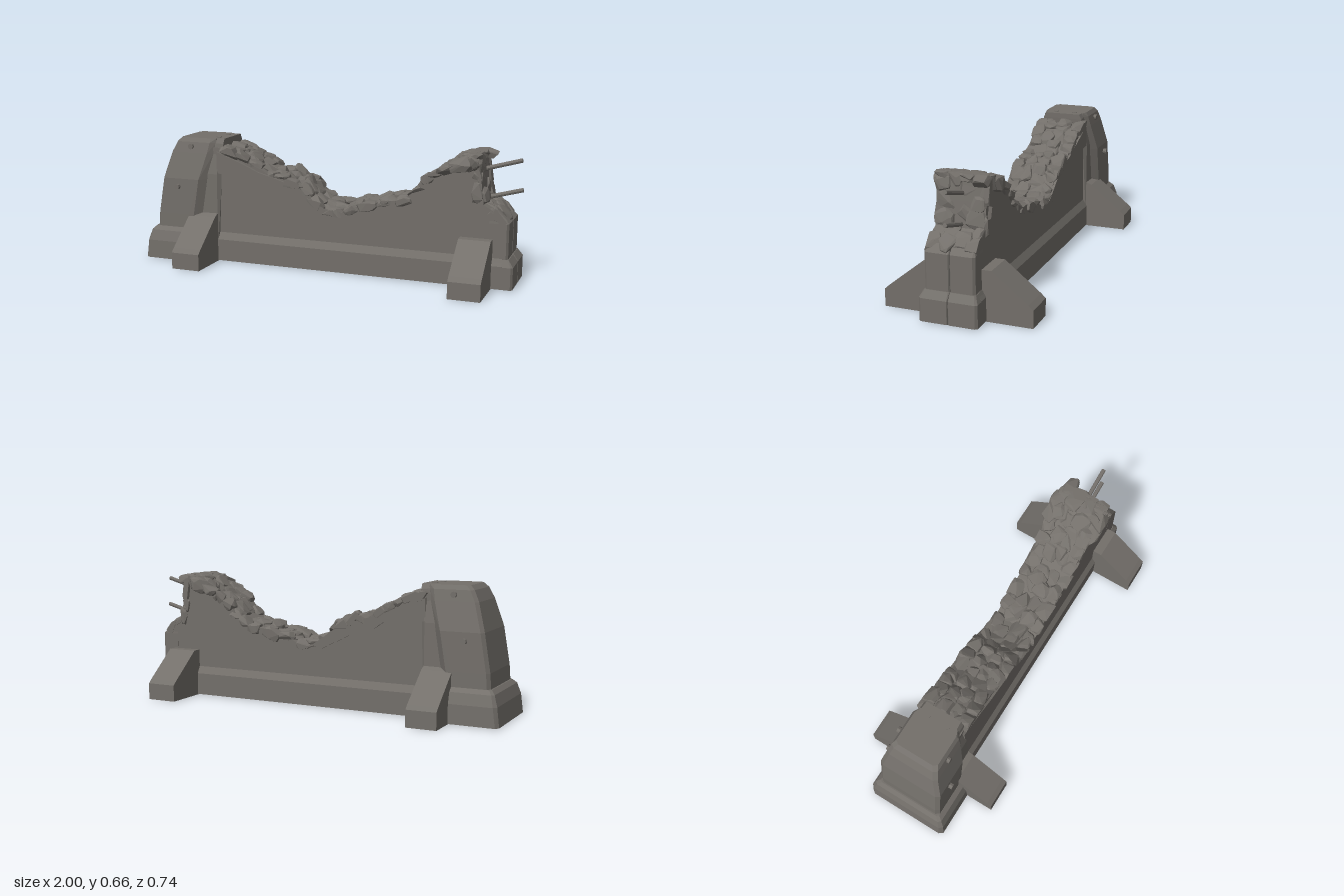
import * as THREE from 'three';
import { ConvexGeometry } from 'three/addons/geometries/ConvexGeometry.js';

const concrete = new THREE.MeshStandardMaterial({ color: 0x736f6a, flatShading: true });
concrete.name = 'concrete';

// Seeded random numbers
let seed = 11;
const rnd = () => {
  seed = (seed * 16807) % 2147483647;
  return seed / 2147483647;
};
const spread = (a) => (rnd() * 2 - 1) * a;
const v2 = (list) => list.map(([x, y]) => new THREE.Vector2(x, y));
const v3 = (x, y, z) => new THREE.Vector3(x, y, z);

function add(parent, name, geometry) {
  const mesh = new THREE.Mesh(geometry, concrete);
  mesh.name = name;
  parent.add(mesh);
  return mesh;
}

// Side profile (x, y) extruded across z, centred
function acrossZ(points, halfDepth) {
  return new THREE.ExtrudeGeometry(new THREE.Shape(v2(points)), { depth: halfDepth * 2, bevelEnabled: false })
    .translate(0, 0, -halfDepth);
}

// Symmetric (z, y) section, given for one side, run along x
function alongX(half, x0, x1) {
  const pts = [...half, ...half.map(([z, y]) => [-z, y]).reverse()];
  return new THREE.ExtrudeGeometry(new THREE.Shape(v2(pts)), { depth: x1 - x0, bevelEnabled: false })
    .rotateY(Math.PI / 2).translate(x0, 0, 0);
}

// Solid through horizontal outlines [y, [[x, z], ...]]; mirrored in z if asked
function hull(levels, mirror = true) {
  const pts = [];
  for (const [y, outline] of levels) {
    for (const [x, z] of outline) {
      pts.push(v3(x, y, z));
      if (mirror) pts.push(v3(x, y, -z));
    }
  }
  return new ConvexGeometry(pts);
}

// Broken top line of the wall, from the pillar to the ruined end
const TOP = [[-0.6, 0.63], [-0.52, 0.61], [-0.45, 0.59], [-0.4, 0.55], [-0.35, 0.53], [-0.3, 0.5], [-0.22, 0.495],
  [-0.19, 0.465], [-0.12, 0.455], [-0.05, 0.385], [0.01, 0.345], [0.1, 0.335], [0.17, 0.37], [0.25, 0.375],
  [0.32, 0.405], [0.42, 0.425], [0.48, 0.47], [0.53, 0.53], [0.6, 0.57], [0.7, 0.65], [0.8, 0.655],
  [0.815, 0.55], [0.83, 0.43], [0.9, 0.39], [0.955, 0.335]];

// One worn chunk lying on the broken edge, aligned to direction t
function stone(p, t, z, [st, sn, sz], zMax) {
  const twist = spread(0.4);
  const pts = [];
  for (let i = 0; i < 26; i++) {
    const d = v3(spread(1), spread(1), spread(1)).normalize();
    const k = 1 / Math.pow(d.x ** 4 + d.y ** 4 + d.z ** 4, 0.25);
    const a = (d.x * Math.cos(twist) - d.z * Math.sin(twist)) * k * st;
    const c = (d.x * Math.sin(twist) + d.z * Math.cos(twist)) * k * sz;
    const b = d.y * k * sn;
    pts.push(v3(p.x + t.x * a - t.y * b, Math.min(0.657, p.y + t.y * a + t.x * b),
      THREE.MathUtils.clamp(z + c, -zMax, zMax)));
  }
  return new ConvexGeometry(pts);
}

export function createModel() {
  seed = 11;
  const model = new THREE.Group();
  model.name = 'ruinedWall';

  // Wall core below the rubble
  const core = TOP.map(([x, y]) => [Math.min(x, 0.945), y - 0.018]);
  add(model, 'wallCore', acrossZ([[-0.7, 0], [-0.7, 0.6], ...core, [0.945, 0]], 0.122));

  // Overhanging broken crust next to the pillar
  add(model, 'brokenCrust', acrossZ([[-0.6, 0.475], [-0.38, 0.46], [-0.33, 0.425], [-0.2, 0.385], [-0.03, 0.302],
    [0.02, 0.32], [-0.04, 0.36], [-0.13, 0.425], [-0.25, 0.465], [-0.36, 0.495], [-0.45, 0.535], [-0.6, 0.59]], 0.134));

  // Plinth with sloped shoulders
  add(model, 'plinth', alongX([[0.143, 0.003], [0.143, 0.118], [0.122, 0.155]], -0.75, 0.93));

  // Foot and wall end, split by a fine crack down the middle
  for (const s of [1, -1]) {
    const flip = (o) => o.map(([x, z]) => [x, z * s]);
    const foot = [[0.88, 0.001], [0.98, 0.001], [0.985, 0.005], [0.985, 0.132], [0.975, 0.143], [0.88, 0.143]];
    const footTop = [[0.88, 0.001], [0.955, 0.001], [0.96, 0.006], [0.96, 0.12], [0.95, 0.126], [0.88, 0.126]];
    const end = [[0.86, 0.001], [0.95, 0.001], [0.956, 0.006], [0.956, 0.112], [0.946, 0.123], [0.86, 0.123]];
    const endTop = [[0.86, 0.001], [0.92, 0.003], [0.92, 0.11], [0.86, 0.12]];
    add(model, 'endFoot', hull([[0.003, flip(foot)], [0.115, flip(foot)], [0.15, flip(footTop)]], false));
    add(model, 'wallEnd', hull([[0.1, flip(end)], [0.325, flip(end)], [0.36, flip(endTop)]], false));
  }

  // Pillar: wide foot, tapering armoured shell and a recessed collar towards the wall
  const pillar = new THREE.Group();
  pillar.name = 'pillar';
  model.add(pillar);
  add(pillar, 'pillarFoot', hull([
    [0.003, [[-1, 0.2], [-0.985, 0.22], [-0.7, 0.22]]],
    [0.1, [[-0.988, 0.198], [-0.972, 0.217], [-0.7, 0.217]]],
    [0.155, [[-0.97, 0.185], [-0.958, 0.2], [-0.7, 0.2]]],
    [0.175, [[-0.95, 0.165], [-0.94, 0.178], [-0.7, 0.178]]]]));
  const ring = (y, xl, xm, xr, zw, zr) => [y, [[xl, zw - 0.02], [xl + 0.015, zw], [xm, zw], [xr, zr]]];
  add(pillar, 'pillarShell', hull([
    ring(0.02, -0.955, -0.76, -0.72, 0.177, 0.14),
    ring(0.25, -0.938, -0.75, -0.71, 0.176, 0.14),
    ring(0.44, -0.906, -0.69, -0.655, 0.173, 0.14),
    ring(0.58, -0.865, -0.65, -0.62, 0.143, 0.12),
    ring(0.635, -0.838, -0.64, -0.61, 0.13, 0.11),
    ring(0.657, -0.815, -0.64, -0.61, 0.117, 0.105)]));
  add(pillar, 'pillarCollar', hull([
    [0.02, [[-0.8, 0.142], [-0.6, 0.142]]],
    [0.47, [[-0.8, 0.142], [-0.597, 0.138]]],
    [0.63, [[-0.75, 0.118], [-0.568, 0.112]]],
    [0.657, [[-0.75, 0.11], [-0.568, 0.097]]]]));

  // Bolts on the pillar sides and top
  for (const s of [1, -1]) {
    for (const [x, y, z] of [[-0.745, 0.612, 0.134], [-0.812, 0.397, 0.178]]) {
      const bolt = add(pillar, 'sideBolt', new THREE.CylinderGeometry(0.015, 0.015, 0.03, 8));
      bolt.position.set(x, y, s * z);
      bolt.rotation.x = Math.PI / 2;
    }
    add(pillar, 'topBolt', new THREE.CylinderGeometry(0.015, 0.015, 0.006, 8)).position.set(-0.62, 0.657, s * 0.055);
  }

  // Sloping buttresses on both sides
  for (const [x0, x1, top] of [[-0.752, -0.597, 0.268], [0.72, 0.88, 0.246]]) {
    add(model, 'buttress', alongX([[0.368, 0], [0.368, 0.086], [0.345, 0.107], [0.17, 0.246], [0.12, top]], x0, x1));
  }

  // Rubble chunks in uneven rows along the broken edge
  const rubble = new THREE.Group();
  rubble.name = 'rubble';
  model.add(rubble);
  const path = new THREE.Path().setFromPoints(v2(TOP));
  const count = 29;
  for (let i = 0; i < count; i++) {
    for (let j = 0; j < 4; j++) {
      const u = THREE.MathUtils.clamp((i + 0.5 + spread(0.5)) / count, 0.025, 0.975);
      const p = path.getPointAt(u);
      const t = path.getTangentAt(u);
      const h = 0.02 + rnd() * 0.012;
      p.addScaledVector(new THREE.Vector2(-t.y, t.x), -h * 0.85 + spread(0.008));
      add(rubble, 'stone', stone(p, t, (j - 1.5) * 0.066 + spread(0.015),
        [0.036 + rnd() * 0.022, h, 0.036 + rnd() * 0.016], p.x > 0.83 ? 0.123 : 0.135));
    }
  }

  // Heavy overhanging lumps at the high broken end
  for (const s of [1, -1]) {
    for (const [x, y, z, a, b, c] of [[0.65, 0.578, 0.12, 0.055, 0.025, 0.045], [0.71, 0.6, 0.115, 0.06, 0.04, 0.052],
      [0.765, 0.615, 0.095, 0.045, 0.045, 0.05], [0.74, 0.63, 0.04, 0.06, 0.03, 0.05],
      [0.795, 0.53, 0.08, 0.03, 0.05, 0.048], [0.815, 0.455, 0.075, 0.03, 0.045, 0.05]]) {
      add(rubble, 'lump', stone(new THREE.Vector2(x, y), new THREE.Vector2(0.95, 0.31), z * s, [a, b, c], 0.163));
    }
  }

  // Reinforcing bars sticking out of the broken end
  for (const [x0, y0, x1, y1] of [[0.74, 0.55, 0.988, 0.62], [0.76, 0.41, 0.996, 0.474]]) {
    const bar = add(model, 'reinforcingBar', new THREE.CylinderGeometry(0.011, 0.011, Math.hypot(x1 - x0, y1 - y0), 8));
    bar.position.set((x0 + x1) / 2, (y0 + y1) / 2, -0.004);
    bar.rotation.z = Math.atan2(y1 - y0, x1 - x0) - Math.PI / 2;
  }
  return model;
}
